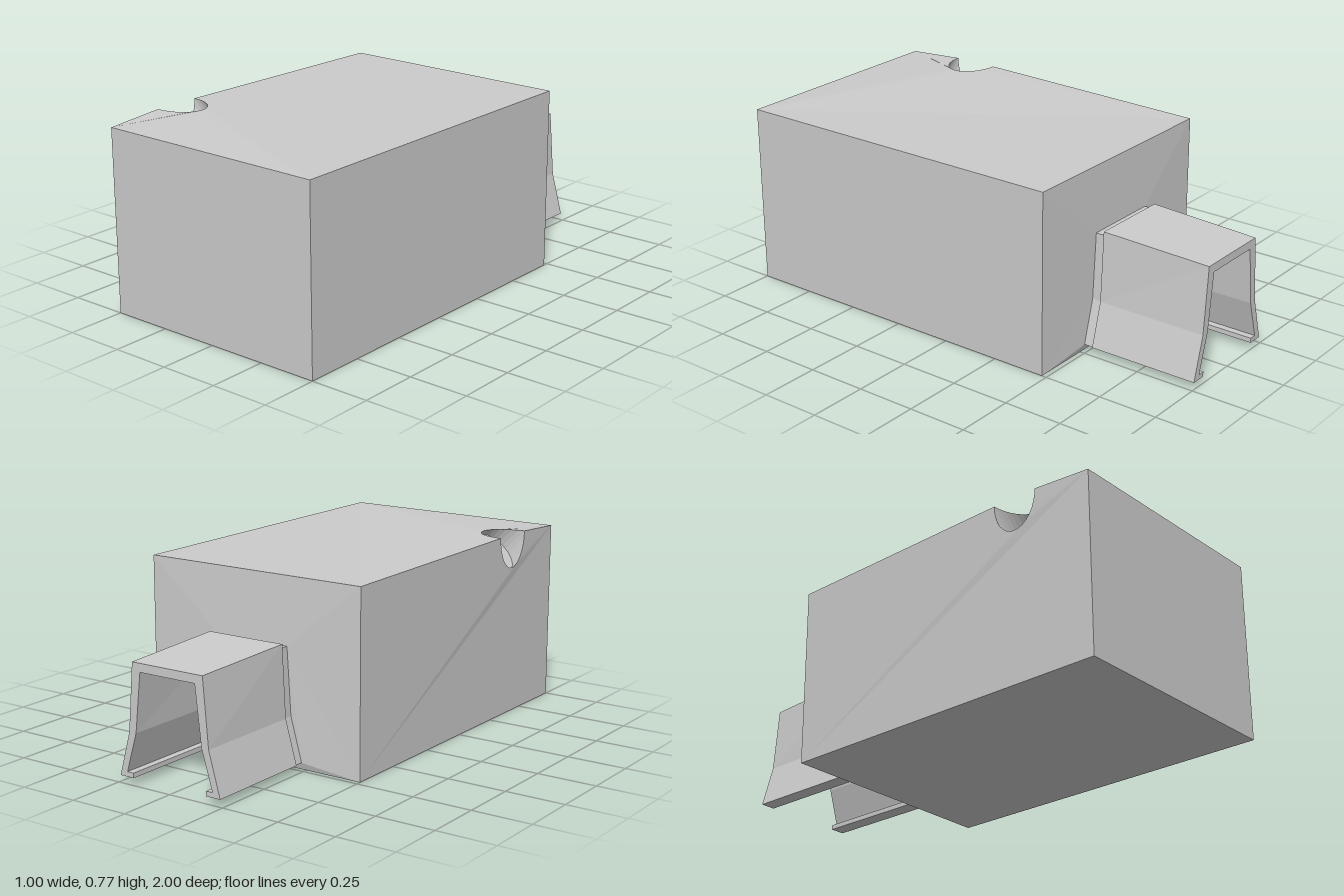
import * as THREE from 'three';

const material = new THREE.MeshStandardMaterial({ color: 0xcccccc, flatShading: true, side: THREE.DoubleSide });
const V = (x, y, z) => new THREE.Vector3(x, y, z);
const mirror = (pts) => pts.map(([x, y]) => [-x, y]).reverse();

function addMesh(group, name, geometry) {
  const mesh = new THREE.Mesh(geometry, material);
  mesh.name = name;
  group.add(mesh);
}

// Slightly warped panel: triangulated in a projection, kept at its 3D points
function panel(points, project, hole = []) {
  const holes = hole.length ? [hole.map(project)] : [];
  const faces = THREE.ShapeUtils.triangulateShape(points.map(project), holes);
  const geometry = new THREE.BufferGeometry().setFromPoints([...points, ...hole]);
  geometry.setIndex(faces.flat());
  geometry.computeVertexNormals();
  return geometry;
}

function extrude(outline, depth, z) {
  const shape = new THREE.Shape(outline.map(([x, y]) => new THREE.Vector2(x, y)));
  return new THREE.ExtrudeGeometry(shape, { depth, bevelEnabled: false }).translate(0, 0, z);
}

export function createModel() {
  const model = new THREE.Group();
  const X = 0.5, H = 0.76, F = 1, B = -0.48;

  // Round thumb notch bored diagonally into the upper edge
  const R = 0.1, S = Math.SQRT1_2, N = 32;
  const notchPoint = (t, s) => {
    const u = R * Math.cos(t);
    return V(-0.505 + (u - s) * S, 0.775 + (u + s) * S, 0.65 + R * Math.sin(t));
  };
  const rim = [], floor = [];
  for (let i = 0; i < N; i++) {
    const t = -Math.PI / 2 + (i / N) * Math.PI * 2;
    rim.push(notchPoint(t, -R * Math.abs(Math.cos(t))));
    floor.push(notchPoint(t, -0.125));
  }
  const topRim = rim.slice(0, N / 2 + 1);
  const sideRim = [...rim.slice(N / 2), rim[0]];

  // Collar outline, shared with the opening in the back panel
  const collarHalf = [[0.235, 0.03], [0.185, 0.21], [0.168, 0.485]];
  const collar = [...collarHalf, ...mirror(collarHalf)];

  // Body panels
  const body = new THREE.Group();
  body.name = 'body';
  model.add(body);
  const plan = (p) => new THREE.Vector2(p.x, -p.z);
  const under = (p) => new THREE.Vector2(p.x, p.z);
  const front = (p) => new THREE.Vector2(p.x, p.y);
  const back = (p) => new THREE.Vector2(-p.x, p.y);
  const left = (p) => new THREE.Vector2(-p.z, p.y);
  const right = (p) => new THREE.Vector2(p.z, p.y);

  addMesh(body, 'topPanel', panel(
    [V(-X, H, B), ...topRim, V(-X, H, F), V(X, H, F), V(X, H, B)], plan));
  addMesh(body, 'rightPanel', panel(
    [V(-X, 0, B), V(-X, 0, F), V(-X, H, F), ...sideRim, V(-X, H, B)], right));
  addMesh(body, 'leftPanel', panel([V(X, 0, F), V(X, 0, B), V(X, H, B), V(X, H, F)], left));
  addMesh(body, 'frontPanel', panel([V(-X, 0, F), V(X, 0, F), V(X, H, F), V(-X, H, F)], front));
  addMesh(body, 'bottomPanel', panel([V(-X, 0, B), V(X, 0, B), V(X, 0, F), V(-X, 0, F)], under));
  addMesh(body, 'backPanel', panel(
    [V(X, 0, B), V(-X, 0, B), V(-X, H, B), V(X, H, B)], back,
    collar.map(([x, y]) => V(x, y, -0.49))));

  // Notch wall and floor
  const wall = new THREE.BufferGeometry().setFromPoints([...rim, ...floor]);
  const index = [];
  for (let i = 0; i < N; i++) {
    const j = (i + 1) % N;
    index.push(i, j, N + i, j, N + j, N + i);
  }
  wall.setIndex(index);
  wall.computeVertexNormals();
  addMesh(body, 'notchWall', wall);
  addMesh(body, 'notchFloor', panel(floor, plan));

  // Collar joining body and channel
  addMesh(model, 'collar', extrude(collar, 0.05, -0.53));

  // Open-bottomed flared channel with inward lips
  const outer = [[0.175, 0.03], [0.24, 0.03], [0.19, 0.21], [0.167, 0.485]];
  const inner = [[0.175, 0.05], [0.205, 0.05], [0.157, 0.21], [0.13, 0.45]];
  const outline = [...outer, ...mirror(outer), ...inner.map(([x, y]) => [-x, y]), ...[...inner].reverse()];
  const channel = extrude(outline, 0.47, -1);
  const p = channel.attributes.position;
  for (let i = 0; i < p.count; i++) {
    // The roof grows slightly towards the body
    if (p.getY(i) > 0.4 && p.getZ(i) > -0.7) {
      p.setX(i, p.getX(i) * 1.05);
      p.setY(i, p.getY(i) + 0.018);
    }
  }
  channel.computeVertexNormals();
  addMesh(model, 'rearChannel', channel);

  return model;
}
